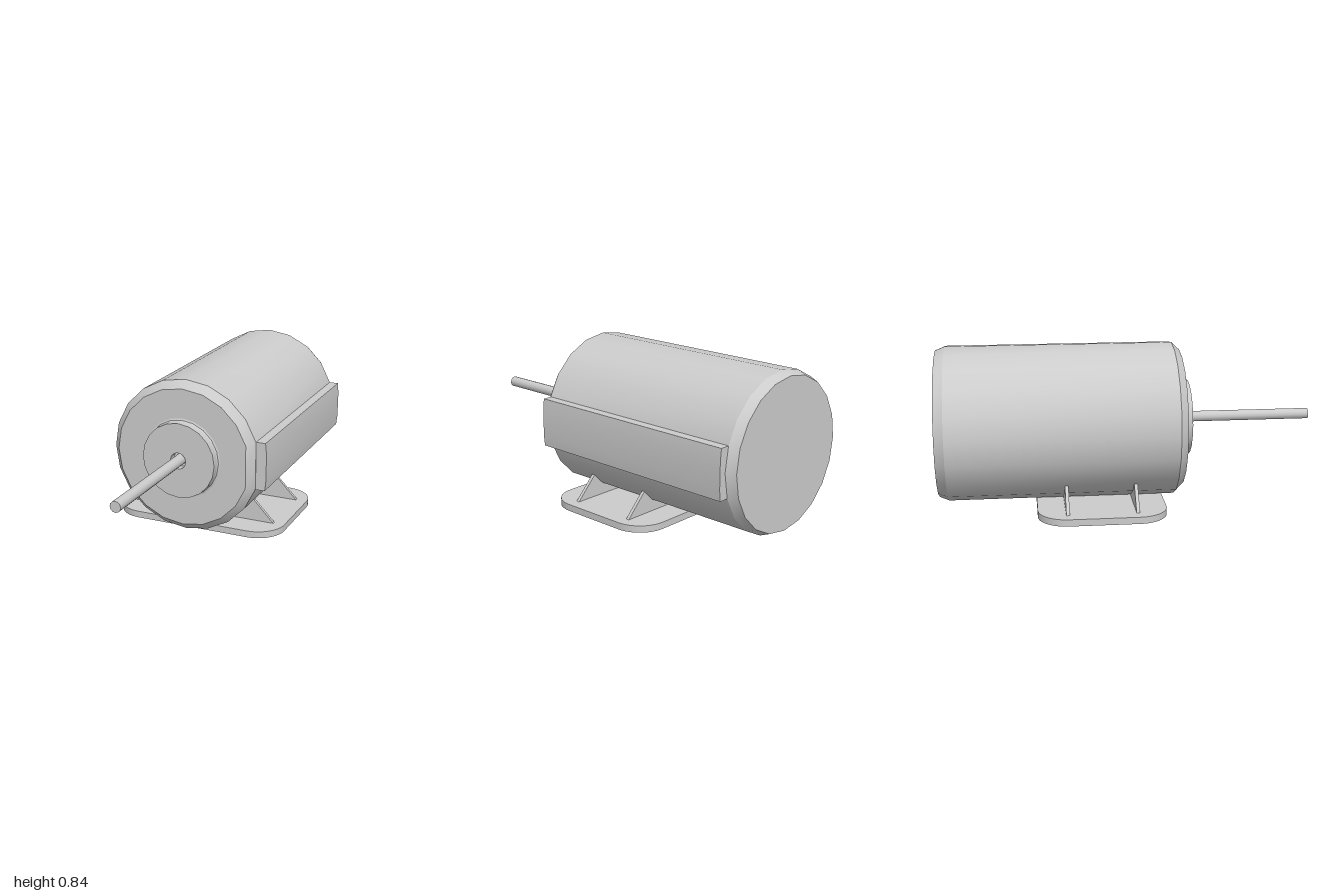
import * as THREE from 'three';
import { toCreasedNormals } from 'three/addons/utils/BufferGeometryUtils.js';

const AXIS_Y = 0.431;
const material = new THREE.MeshStandardMaterial({ color: 0xcccccc });

function mesh(name, geometry) {
  const m = new THREE.Mesh(toCreasedNormals(geometry, 0.35), material);
  m.name = name;
  return m;
}

// Turned part about the motor axis; profile points are [radius, z], back to front
function turned(profile, sides) {
  const points = profile.map(([r, z]) => new THREE.Vector2(r, z));
  return new THREE.LatheGeometry(points, sides).rotateX(Math.PI / 2).translate(0, AXIS_Y, 0);
}

// Outline in x, y extruded along z from z0 to z1
function extrudeZ(outline, z0, z1) {
  const shape = new THREE.Shape(outline.map(([x, y]) => new THREE.Vector2(x, y)));
  return new THREE.ExtrudeGeometry(shape, { depth: z1 - z0, bevelEnabled: false }).translate(0, 0, z0);
}

export function createModel() {
  const group = new THREE.Group();
  group.name = 'electricMotor';

  // Housing with chamfered ends; its front rim is flat beside the terminal box
  const body = turned([[0, -1], [0.39, -1], [0.411, -0.95], [0.411, 0.243], [0.371, 0.285], [0, 0.285]], 20);
  const pos = body.attributes.position;
  for (let i = 0; i < pos.count; i++) {
    const x = pos.getX(i);
    if (x > 0.3 && pos.getZ(i) > 0 && Math.abs(pos.getY(i) - AXIS_Y) < 0.01) {
      pos.setX(i, x * Math.cos(Math.PI / 10));
    }
  }
  group.add(mesh('housing', body));

  // Front bearing boss with a small fillet and a shaft recess
  group.add(mesh('bearingBoss', turned([
    [0.215, 0.285], [0.206, 0.289], [0.202, 0.298], [0.202, 0.335],
    [0.043, 0.335], [0.043, 0.288], [0, 0.288],
  ], 20)));

  // Output shaft
  const shaft = new THREE.CylinderGeometry(0.029, 0.029, 0.74, 12).rotateX(Math.PI / 2);
  const shaftMesh = new THREE.Mesh(shaft, material);
  shaftMesh.name = 'shaft';
  shaftMesh.position.set(0, AXIS_Y, 0.63);
  group.add(shaftMesh);

  // Terminal box along the left side, with a slightly bowed cover
  group.add(mesh('terminalBox', extrudeZ(
    [[0.36, 0.303], [0.441, 0.303], [0.447, 0.36], [0.447, 0.502], [0.441, 0.559], [0.36, 0.559]],
    -0.95, 0.24)));

  // Rounded foot plate
  const w = 0.475, front = 0.18, back = -0.49, r = 0.155;
  const plate = new THREE.Shape();
  plate.absarc(w - r, -back - r, r, 0, Math.PI / 2);
  plate.absarc(-w + r, -back - r, r, Math.PI / 2, Math.PI);
  plate.absarc(-w + r, -front + r, r, Math.PI, Math.PI * 1.5);
  plate.absarc(w - r, -front + r, r, Math.PI * 1.5, Math.PI * 2);
  const foot = new THREE.ExtrudeGeometry(plate, { depth: 0.036, bevelEnabled: false, curveSegments: 6 });
  group.add(mesh('footPlate', foot.rotateX(-Math.PI / 2)));

  // Two cross webs joining the housing to the foot
  for (const z of [0.022, -0.338]) {
    group.add(mesh('footWeb', extrudeZ(
      [[-0.425, 0.025], [0.425, 0.025], [0.285, 0.17], [-0.285, 0.17]], z - 0.009, z + 0.009)));
  }
  return group;
}
